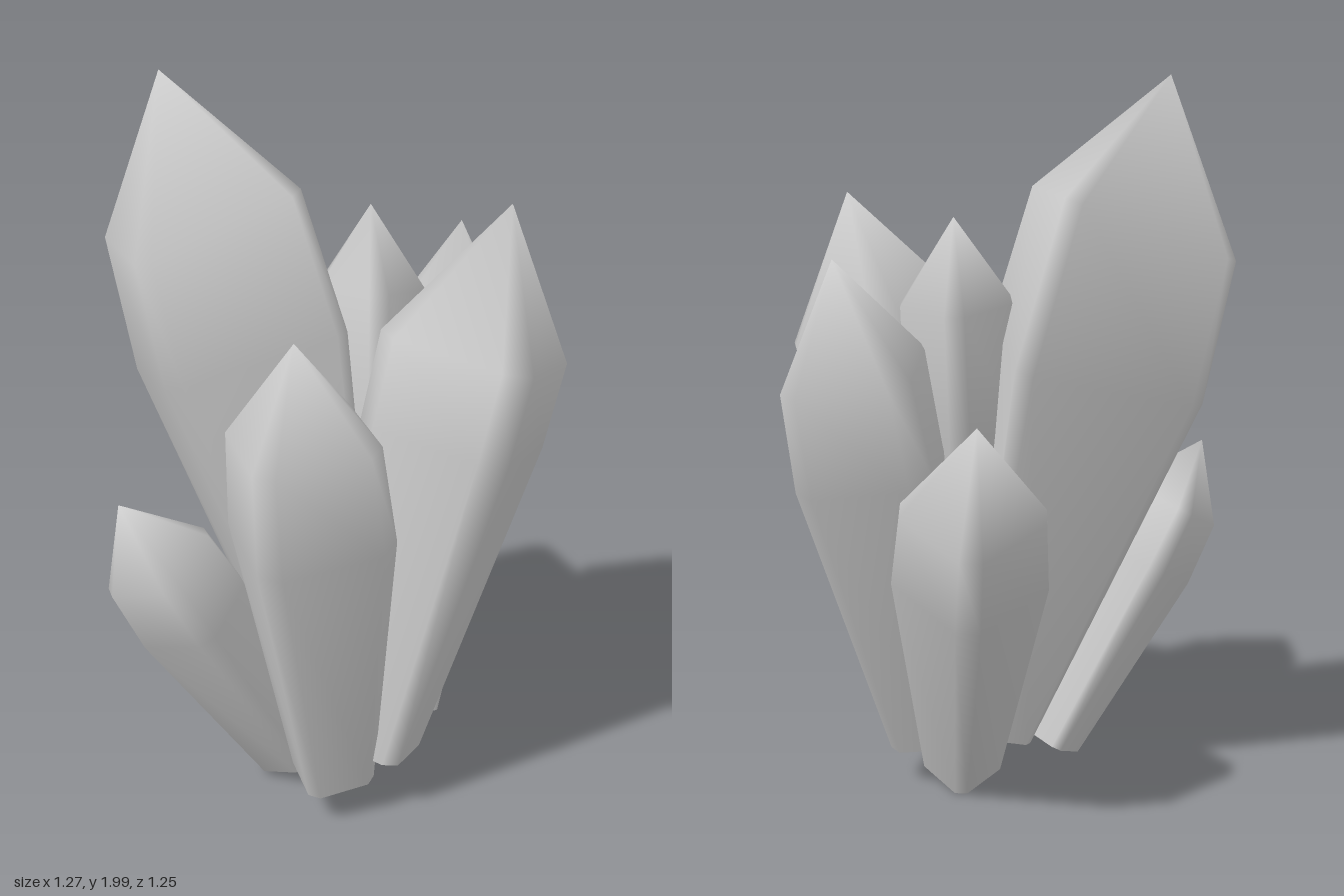
import * as THREE from 'three';
import { mergeVertices } from 'three/addons/utils/BufferGeometryUtils.js';

const UP = new THREE.Vector3(0, 1, 0);

// Each crystal: base centre, tip, corner radii (base, belly, shoulder), shoulder
// position along the length, slope of the shoulder ring towards the front,
// twist and half-angle of the cut corners in degrees.
const CRYSTALS = [
  { name: 'tallLeaningCrystal', base: [0.10, 0.13, 0.06], tip: [-0.45, 2.0, 0.07], radii: [0.13, 0.335, 0.31], shoulder: 0.8, slope: -0.2, twist: 0, chamfer: 5 },
  { name: 'sideCrystal', base: [0.24, 0.18, 0.165], tip: [0.48, 1.7, -0.12], radii: [0.14, 0.257, 0.26], shoulder: 0.755, slope: 0, twist: 45, chamfer: 10 },
  { name: 'frontCrystal', base: [0.165, 0.12, 0.27], tip: [0.15, 1.45, 0.46], radii: [0.12, 0.228, 0.205], shoulder: 0.805, slope: 0, twist: 0, chamfer: 9 },
  { name: 'smallFrontCrystal', base: [-0.02, 0.07, 0.18], tip: [-0.32, 0.965, 0.55], radii: [0.097, 0.162, 0.152], shoulder: 0.79, slope: 0, twist: 45, chamfer: 9 },
  { name: 'rearCrystal', base: [0.21, 0.14, -0.12], tip: [0.195, 1.54, -0.51], radii: [0.12, 0.228, 0.21], shoulder: 0.79, slope: 0, twist: -17, chamfer: 10 },
  { name: 'shortRearCrystal', base: [0.1, 0.06, -0.1], tip: [-0.265, 1.155, -0.52], radii: [0.112, 0.207, 0.188], shoulder: 0.78, slope: 0, twist: 35, chamfer: 9 },
  { name: 'innerCrystal', base: [0.16, 0.2, 0.04], tip: [0.05, 1.64, -0.19], radii: [0.08, 0.158, 0.154], shoulder: 0.84, slope: 0, twist: 34, chamfer: 10 },
];

// Gather the eight corners in pairs, giving a square section with cut corners
function chamferSquare(geometry, halfAngle) {
  const pos = geometry.attributes.position;
  for (let i = 0; i < pos.count; i++) {
    const radius = Math.hypot(pos.getX(i), pos.getZ(i));
    const k = (Math.round(Math.atan2(pos.getX(i), pos.getZ(i)) / (Math.PI / 4)) + 8) % 8;
    const angle = Math.floor(k / 2) * Math.PI / 2 + (k % 2 ? halfAngle : -halfAngle);
    pos.setX(i, radius * Math.sin(angle));
    pos.setZ(i, radius * Math.cos(angle));
  }
}

// Tip the ring at the given height forwards or backwards
function slopeRing(geometry, height, slope) {
  const pos = geometry.attributes.position;
  for (let i = 0; i < pos.count; i++) {
    if (Math.abs(pos.getY(i) - height) < 1e-4) pos.setY(i, height + slope * pos.getZ(i));
  }
}

// Tapered shaft with a pointed head, shaded smoothly all over
function makeCrystal({ name, base, tip, radii, shoulder, slope, twist, chamfer }, material) {
  const start = new THREE.Vector3(...base);
  const axis = new THREE.Vector3(...tip).sub(start);
  const length = axis.length();
  const [r0, r1, r2] = radii;
  const profile = [
    [0, 0], [r0, 0], [r1, 0.6], [r2, shoulder], [0, 1],
  ].map(([r, t]) => new THREE.Vector2(r, t * length));

  const lathe = new THREE.LatheGeometry(profile, 8);
  chamferSquare(lathe, THREE.MathUtils.degToRad(chamfer));
  lathe.rotateY(THREE.MathUtils.degToRad(twist));
  slopeRing(lathe, shoulder * length, slope);
  lathe.deleteAttribute('normal');
  lathe.deleteAttribute('uv');
  const geometry = mergeVertices(lathe);
  geometry.computeVertexNormals();

  const mesh = new THREE.Mesh(geometry, material);
  mesh.name = name;
  mesh.position.copy(start);
  mesh.quaternion.setFromUnitVectors(UP, axis.normalize());
  return mesh;
}

export function createModel() {
  const group = new THREE.Group();
  group.name = 'crystalCluster';
  const material = new THREE.MeshStandardMaterial({ color: 0xcccccc });
  for (const crystal of CRYSTALS) group.add(makeCrystal(crystal, material));
  return group;
}
